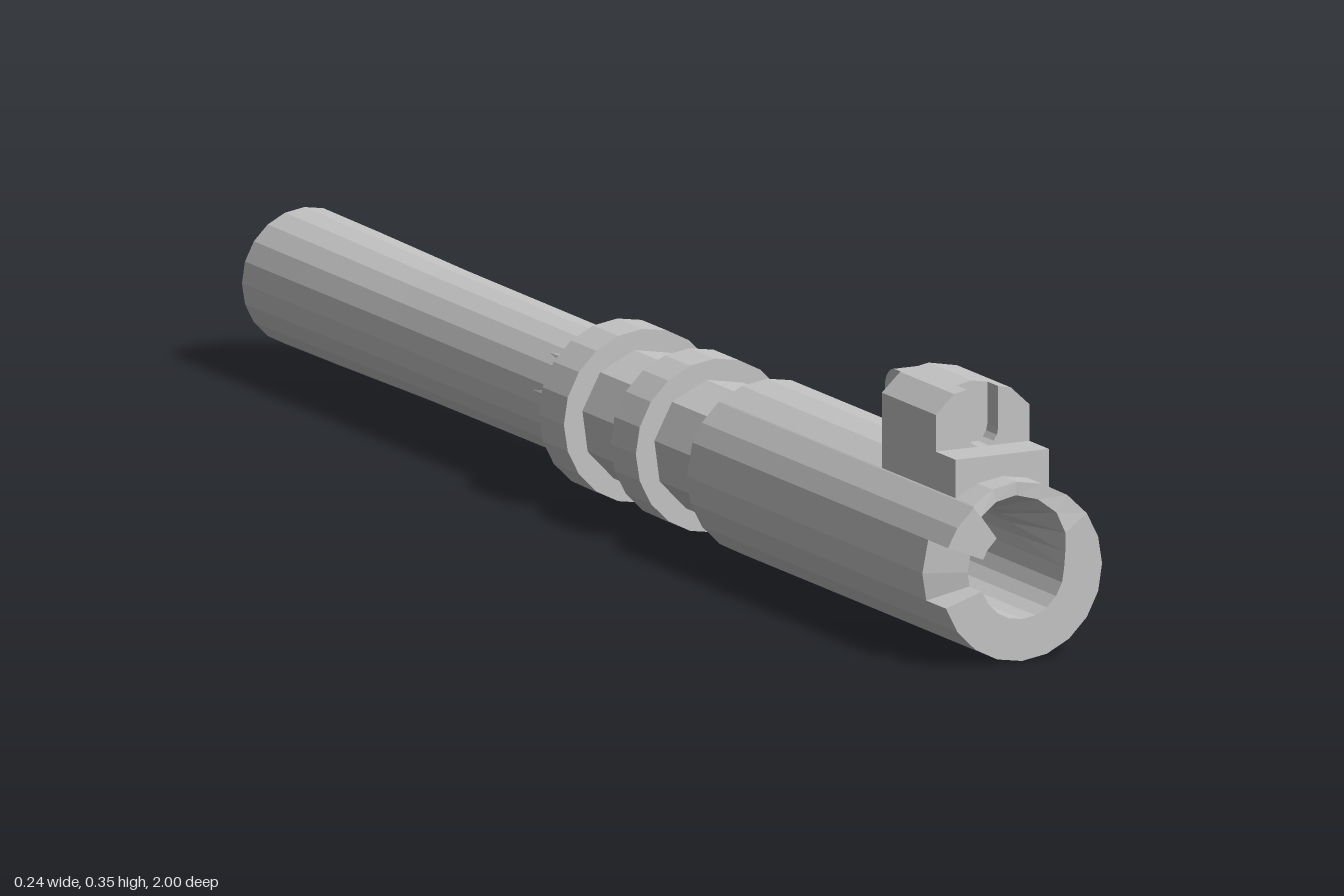
import * as THREE from 'three';

const CY = 0.118;   // height of the bore axis
const BORE = 0.062; // bore radius
const FRONT = 0.995; // z of the breech face
const RAD = Math.PI / 180;

// Skins closed cross-sections [z, radius] placed at angles around the bore axis, faceted.
function loft(columns) {
  const pos = [];
  const point = ({ angle, profile }, i) => {
    const [z, r] = profile[i % profile.length];
    return [Math.cos(angle * RAD) * r, CY + Math.sin(angle * RAD) * r, z];
  };
  columns.forEach((a, k) => {
    const b = columns[(k + 1) % columns.length];
    for (let i = 0; i < a.profile.length; i++) {
      const a0 = point(a, i), a1 = point(a, i + 1), b0 = point(b, i), b1 = point(b, i + 1);
      pos.push(...a0, ...b0, ...b1, ...a0, ...b1, ...a1);
    }
  });
  const g = new THREE.BufferGeometry();
  g.setAttribute('position', new THREE.Float32BufferAttribute(pos, 3));
  g.computeVertexNormals();
  return g;
}

// Hollow tube with an outer outline given from back to front.
function tube(outer, sides = 20, start = 90, bore = BORE) {
  const profile = [...outer, [outer[outer.length - 1][0], bore], [outer[0][0], bore]];
  return loft(Array.from({ length: sides }, (_, k) => ({ angle: start + k * 360 / sides, profile })));
}

function polygon(points) {
  return new THREE.Shape(points.map(([x, y]) => new THREE.Vector2(x, y)));
}

// Breech: ramped, slightly hollowed rim at the top and a slot in the right wall.
function breech() {
  // angle: [rim inner radius, rim z]
  const ramp = {
    18: [0.067, FRONT], 36: [0.079, FRONT], 54: [0.091, 0.99], 72: [0.097, 0.982],
    90: [0.1, 0.978], 108: [0.1, 0.982], 126: [0.098, 0.99],
  };
  const column = (angle, slot, [rim, z] = [BORE, FRONT]) => ({
    angle,
    profile: [[0.285, 0.118], [slot ? 0.94 : z, 0.118], [slot ? 0.96 : z, rim],
      [0.87, BORE], [0.285, BORE]],
  });
  const columns = [];
  for (let k = 0; k < 20; k++) {
    const angle = k * 18;
    if (angle === 162) columns.push(column(158, false), column(158, true));
    else if (angle === 180) columns.push(column(180, true));
    else if (angle === 198) columns.push(column(198, true), column(198, false));
    else {
      columns.push(column(angle, false, ramp[angle]));
      if (angle === 126) columns.push(column(127, false));
    }
  }
  return loft(columns);
}

export function createModel() {
  const group = new THREE.Group();
  const steel = new THREE.MeshStandardMaterial({ color: 0xc5c5c5 });
  steel.name = 'light grey steel';
  const add = (name, geometry, x = 0, y = 0, z = 0) => {
    const mesh = new THREE.Mesh(geometry, steel);
    mesh.name = name;
    mesh.position.set(x, y, z);
    group.add(mesh);
    return mesh;
  };

  // Barrel sections and collars
  add('breech', breech());
  add('frontTube', tube([[-1, 0.092], [-0.85, 0.091], [-0.6, 0.088], [-0.1, 0.087]]));
  add('facetedTube', tube([[-0.21, 0.086], [-0.13, 0.09], [0.29, 0.09]], 10, 98, 0.066));
  for (const z of [-0.13, 0.07]) add('collar', tube([[z, 0.116], [z + 0.07, 0.116]]));

  // Mounting block with a step at the front
  add('blockStep', new THREE.BoxGeometry(0.138, 0.06, 0.205), 0, 0.235, 0.8375);
  const right = [[-0.069, 0.26], [-0.069, 0.314], [-0.042, 0.339]];
  const left = right.map(([x, y]) => [-x, y]).reverse();
  const solid = polygon([...right, [0, 0.347], ...left]);
  add('blockBody', new THREE.ExtrudeGeometry(solid, { depth: 0.12, bevelEnabled: false }), 0, 0, 0.735);

  // Front of the block, with a round-bottomed groove
  const groove = [[-0.023, 0.343]];
  for (let k = 0; k <= 8; k++) {
    const a = Math.PI * (1 + k / 8);
    groove.push([0.023 * Math.cos(a), 0.287 + 0.023 * Math.sin(a)]);
  }
  groove.push([0.023, 0.343]);
  add('groovedFace', new THREE.ExtrudeGeometry(polygon([...right, ...groove, ...left]),
    { depth: 0.03, bevelEnabled: false }), 0, 0, 0.855);

  // Pierced lug behind the block
  const lug = new THREE.Shape();
  lug.moveTo(0.74, 0.334);
  lug.lineTo(0.699, 0.334);
  lug.absarc(0.699, 0.305, 0.029, Math.PI / 2, Math.PI * 1.5, false);
  lug.lineTo(0.74, 0.276);
  const hole = new THREE.Path();
  hole.absarc(0.699, 0.305, 0.015, 0, Math.PI * 2, true);
  lug.holes.push(hole);
  const lugMesh = add('lug', new THREE.ExtrudeGeometry(lug,
    { depth: 0.06, bevelEnabled: false, curveSegments: 6 }), 0.03);
  lugMesh.rotation.y = -Math.PI / 2;

  return group;
}
